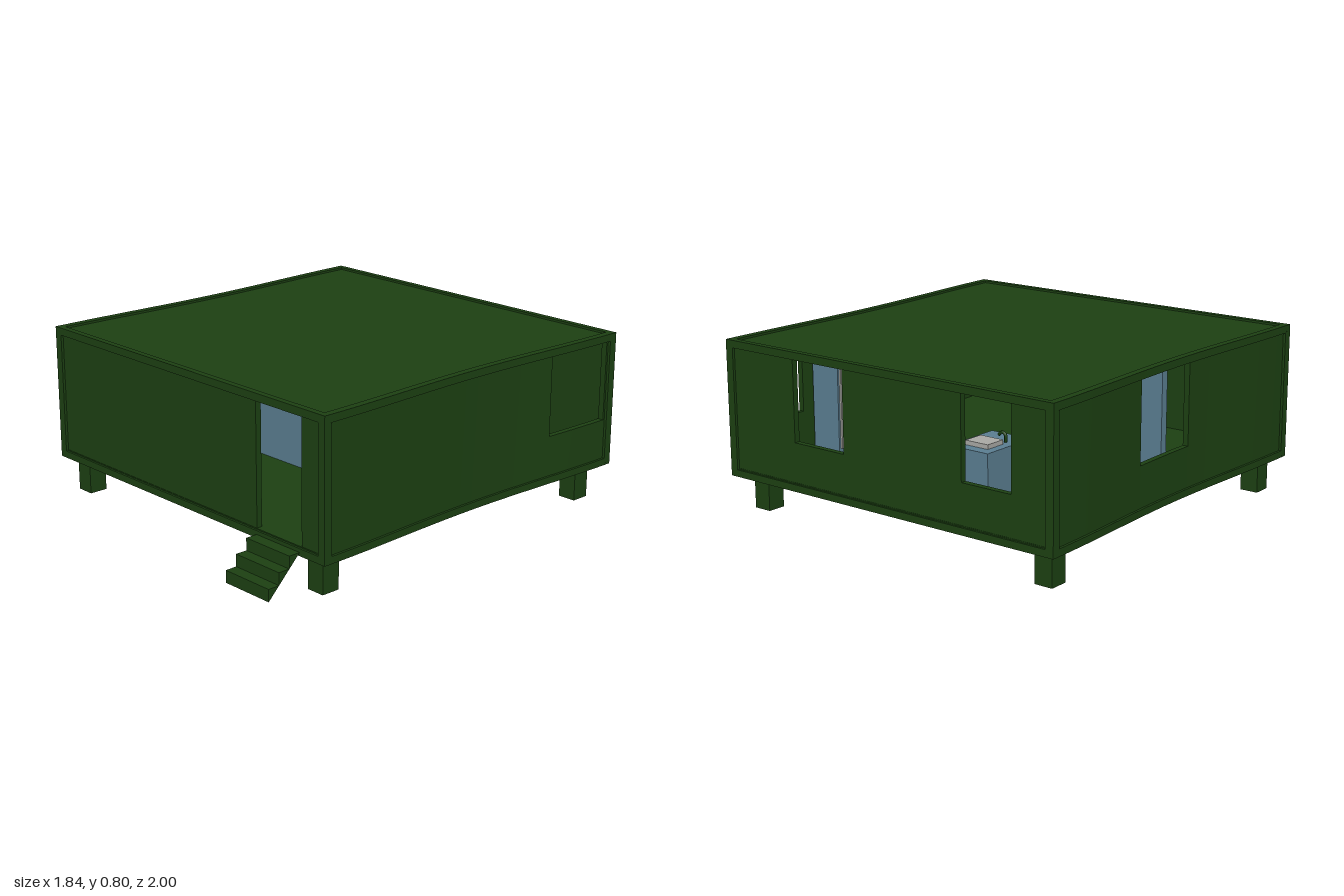
import * as THREE from 'three';

const GREEN = new THREE.MeshStandardMaterial({ color: 0x1c4012 });
const BLUE = new THREE.MeshStandardMaterial({ color: 0x5a7d90 });
const PALE = new THREE.MeshStandardMaterial({ color: 0xa8a8a4 });

// The long sides curve gently inwards between the front and back.
function pinch(geometry) {
  const p = geometry.attributes.position;
  for (let i = 0; i < p.count; i++) {
    const u = (p.getZ(i) + 0.085) / 0.915;
    const c = Math.cos((u * Math.PI) / 2);
    p.setX(i, p.getX(i) * (1 - 0.03 * c * c));
  }
  geometry.computeVertexNormals();
  return geometry;
}

export function createModel() {
  const model = new THREE.Group();

  function add(name, geometry, material = GREEN, x = 0, y = 0, z = 0) {
    const mesh = new THREE.Mesh(geometry, material);
    mesh.name = name;
    mesh.position.set(x, y, z);
    model.add(mesh);
    return mesh;
  }
  // Straight box given by its limits.
  function box(name, x0, x1, y0, y1, z0, z1, material = GREEN) {
    const g = new THREE.BoxGeometry(x1 - x0, y1 - y0, z1 - z0);
    return add(name, g, material, (x0 + x1) / 2, (y0 + y1) / 2, (z0 + z1) / 2);
  }
  // Box that follows the curve of the sides.
  function shell(name, x0, x1, y0, y1, z0, z1) {
    const segments = Math.max(1, Math.ceil((z1 - z0) * 12));
    const g = new THREE.BoxGeometry(x1 - x0, y1 - y0, z1 - z0, 1, 1, segments);
    g.translate((x0 + x1) / 2, (y0 + y1) / 2, (z0 + z1) / 2);
    return add(name, pinch(g));
  }

  const W = 0.92, BACK = -1, FRONT = 0.83;
  const LOW = 0.195, SILL = 0.385, HIGH = 0.765;

  // Floor and roof
  shell('floor', -0.9, 0.9, 0.17, 0.2, BACK + 0.01, FRONT - 0.01);
  shell('roof', -0.9, 0.9, HIGH, 0.79, BACK + 0.01, FRONT - 0.01);

  // Trim around the bottom and the top
  for (const [name, y0, y1] of [['bottomTrim', 0.162, LOW], ['topTrim', HIGH, 0.8]]) {
    for (const s of [-1, 1]) {
      const a = s * W, b = s * (W - 0.035);
      shell(name + 'Side', Math.min(a, b), Math.max(a, b), y0, y1, BACK, FRONT);
    }
    box(name + 'Back', -W, W, y0, y1, BACK, BACK + 0.03);
    box(name + 'Front', -W, W, y0, y1, FRONT - 0.03, FRONT);
  }

  // Corner posts
  for (const x of [-W, W - 0.04]) {
    for (const z of [BACK, FRONT - 0.04]) {
      box('cornerPost', x, x + 0.04, LOW, HIGH, z, z + 0.04);
    }
  }

  // Side walls, each with one window reaching up to the trim
  function sideWall(name, x0, x1, z0, z1) {
    shell(name, x0, x1, LOW, HIGH, BACK + 0.02, z0);
    shell(name, x0, x1, LOW, HIGH, z1, FRONT - 0.02);
    shell(name + 'Sill', x0, x1, LOW, SILL, z0, z1);
  }
  sideWall('leftWall', 0.88, 0.908, -0.95, -0.58);
  sideWall('rightWall', -0.908, -0.88, -0.345, 0.03);

  // Back wall with two windows
  const backZ = [BACK + 0.012, BACK + 0.04];
  for (const [x0, x1] of [[-0.9, -0.7], [-0.44, 0.22], [0.515, 0.9]]) {
    box('backWall', x0, x1, LOW, HIGH, ...backZ);
  }
  for (const [x0, x1] of [[-0.7, -0.44], [0.22, 0.515]]) {
    box('backWallSill', x0, x1, LOW, SILL, ...backZ);
  }

  // Front wall with the doorway
  box('frontWall', -0.9, 0.49, LOW, HIGH, FRONT - 0.04, FRONT - 0.012);
  box('frontWall', 0.77, 0.9, LOW, HIGH, FRONT - 0.04, FRONT - 0.012);

  // Legs
  for (const x of [-0.81, 0.81]) {
    for (const z of [-0.875, 0.735]) {
      box('leg', x - 0.045, x + 0.045, 0, 0.17, z - 0.045, z + 0.045);
    }
  }

  // Steps: wedges that share one sloping underside
  for (let i = 0; i < 3; i++) {
    const z = 1 - i * 0.0567, y = 0.008 + i * 0.0567;
    const wedge = new THREE.Shape([
      new THREE.Vector2(-z, y),
      new THREE.Vector2(-z + 0.0567, y + 0.0567),
      new THREE.Vector2(-z, y + 0.0567),
    ]);
    const g = new THREE.ExtrudeGeometry(wedge, { depth: 0.27, bevelEnabled: false });
    g.rotateY(Math.PI / 2);
    add('step', g, GREEN, 0.5, 0, 0);
  }

  // Tall cupboard by the left wall, with a pale door
  box('cupboard', 0.69, 0.85, 0.2, HIGH, -0.53, -0.2, BLUE);
  box('cupboardDoor', 0.68, 0.69, 0.22, 0.75, -0.52, -0.21, PALE);

  // Partition
  box('partition', -0.67, 0.09, 0.2, HIGH, 0.14, 0.18, BLUE);

  // Washstand with two doors, basin and tap
  box('washstand', -0.5, -0.29, 0.2, 0.495, -0.89, -0.6, BLUE);
  for (const z of [-0.885, -0.74]) {
    box('washstandDoor', -0.29, -0.284, 0.22, 0.485, z, z + 0.135, BLUE);
  }
  box('basin', -0.46, -0.34, 0.49, 0.515, -0.84, -0.74, PALE);
  const tap = new THREE.CatmullRomCurve3([
    new THREE.Vector3(0, 0, 0), new THREE.Vector3(0, 0.035, 0),
    new THREE.Vector3(0.02, 0.045, 0), new THREE.Vector3(0.035, 0.03, 0),
  ]);
  add('tap', new THREE.TubeGeometry(tap, 10, 0.007, 6), GREEN, -0.45, 0.492, -0.71);

  // Wall cabinet with a mirror
  box('mirrorFrame', -0.88, -0.84, 0.55, 0.68, -0.68, -0.6, BLUE);
  box('mirror', -0.84, -0.835, 0.56, 0.67, -0.672, -0.608, PALE);

  // Hanging lamps
  for (const [x, z] of [[0.54, -0.64], [-0.1, -0.77]]) {
    add('lamp', new THREE.CylinderGeometry(0.018, 0.032, 0.05, 12), GREEN, x, 0.737, z);
    add('lampCord', new THREE.CylinderGeometry(0.005, 0.005, 0.01, 6), GREEN, x, 0.765, z);
  }

  return model;
}
